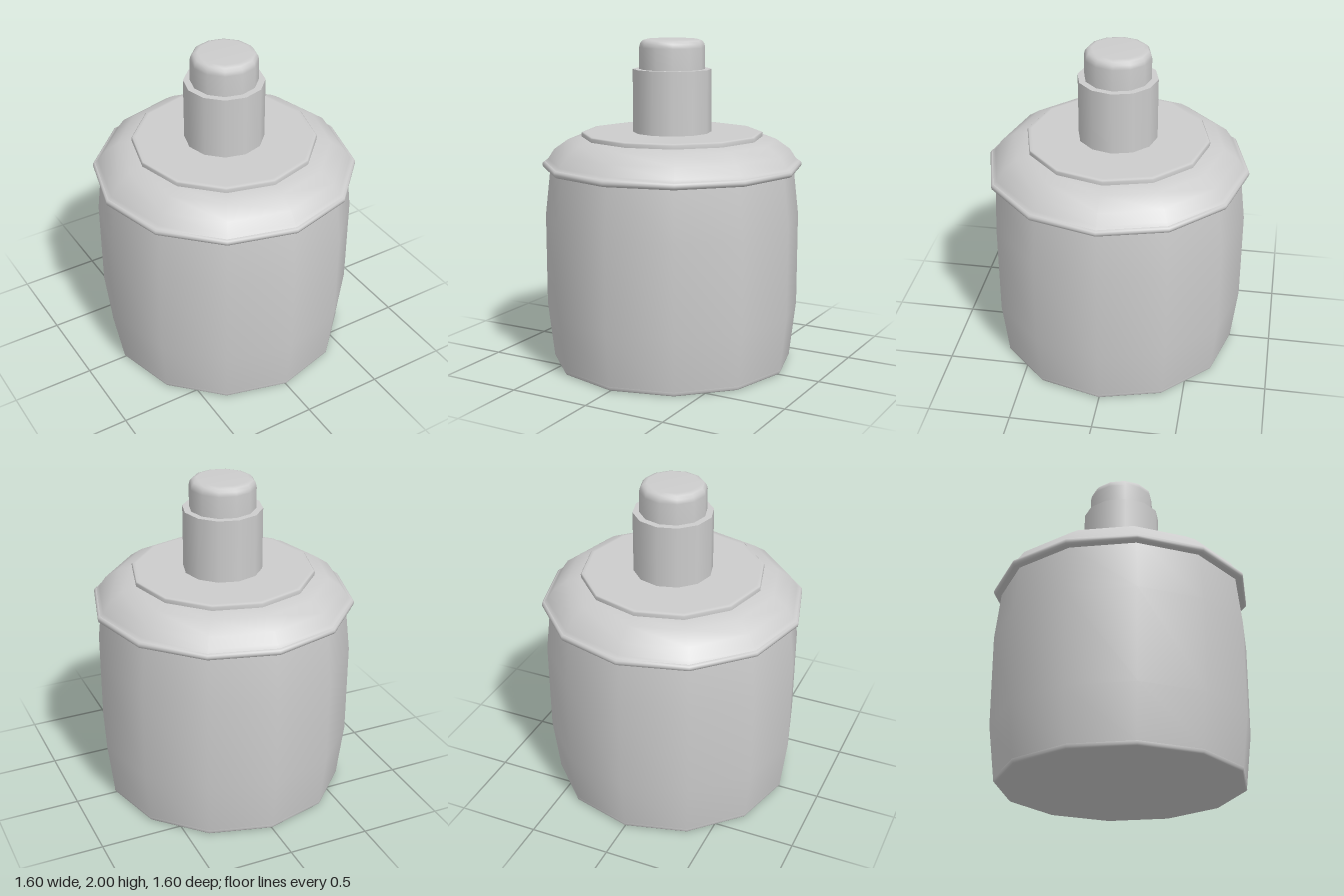
import * as THREE from 'three';

const SIDES = 12;

export function createModel() {
  const model = new THREE.Group();
  model.name = 'pumpBottle';
  const grey = new THREE.MeshStandardMaterial({ color: 0xcccccc });
  grey.name = 'light grey';

  // Turns a profile of [radius, height] points, listed from bottom to top
  const turn = (name, profile) => {
    const points = profile.map(([r, y]) => new THREE.Vector2(r, y));
    const mesh = new THREE.Mesh(new THREE.LatheGeometry(points, SIDES), grey);
    mesh.name = name;
    model.add(mesh);
  };

  // Slightly barrel-shaped body with a small bevelled foot
  turn('base', [[0, 0], [0.72, 0], [0.74, 0.003], [0.748, 0.012], [0.748, 0.028]]);
  turn('body', [[0.748, 0.028], [0.785, 0.35], [0.785, 0.92], [0.75, 1.225]]);

  // Lid: rolled rim, rounded shoulder, shallow step and flat top
  turn('lidRim', [[0.74, 1.215], [0.785, 1.215], [0.797, 1.222], [0.8, 1.235],
    [0.797, 1.248], [0.785, 1.256], [0.765, 1.256]]);
  turn('lidShoulder', [[0.785, 1.256], [0.765, 1.27], [0.725, 1.33], [0.64, 1.39],
    [0.56, 1.406], [0.548, 1.408]]);
  turn('lidStep', [[0.555, 1.4], [0.557, 1.428], [0.55, 1.435], [0.53, 1.437], [0, 1.437]]);

  // Neck collar with a flat top ledge
  turn('neck', [[0.24, 1.43], [0.24, 1.82]]);
  turn('neckLedge', [[0.24, 1.82], [0.19, 1.82]]);

  // Push button with a rounded top edge
  turn('button', [[0.2, 1.82], [0.2, 1.95], [0.194, 1.975], [0.18, 1.992], [0.155, 2], [0, 2]]);

  return model;
}
